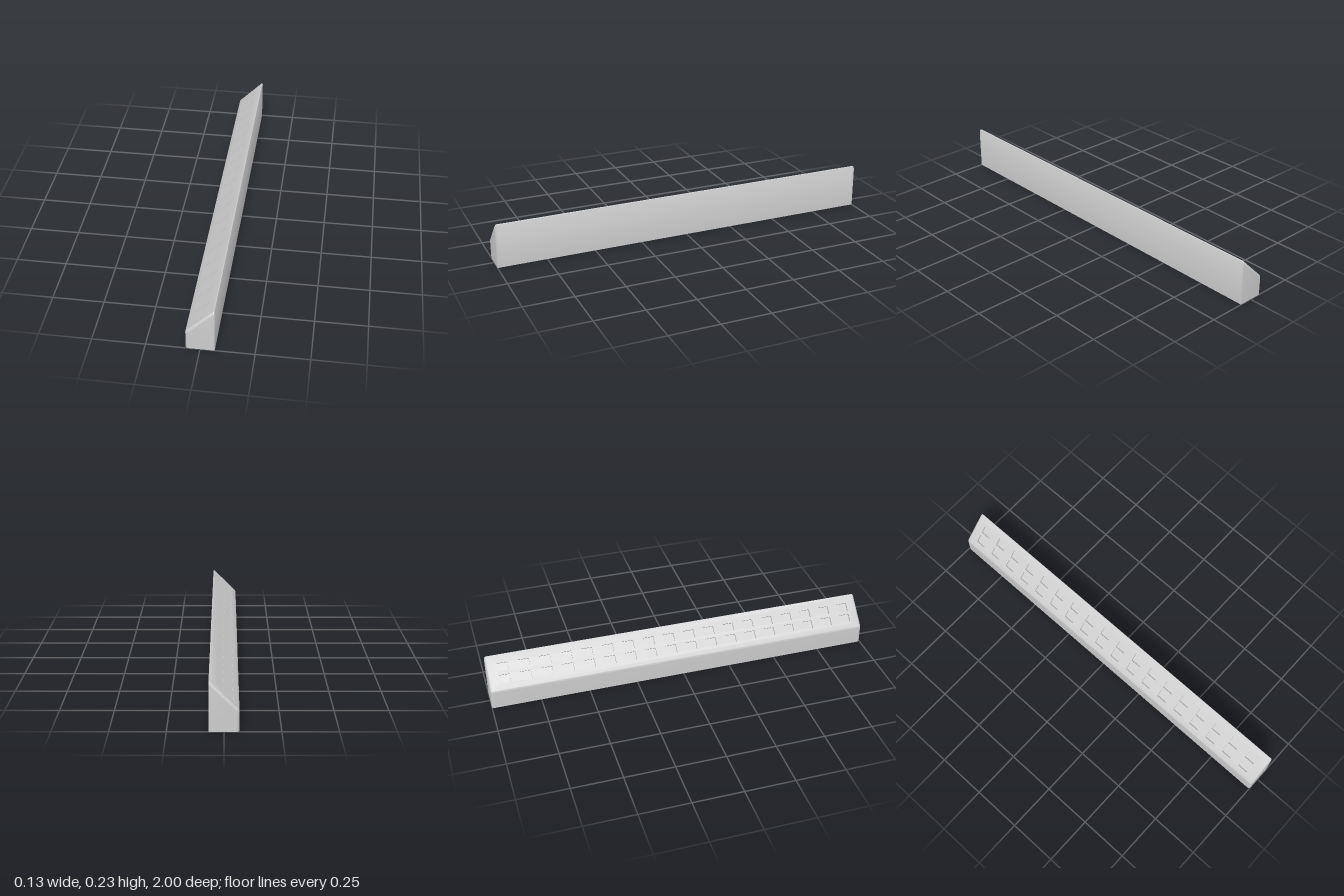
import * as THREE from 'three';
import { mergeGeometries, toCreasedNormals } from 'three/addons/utils/BufferGeometryUtils.js';

const HALF = 0.067, LEN = 1, RISE = 0.166;   // half width, half length, slope line y = x + RISE
const EDGE = 0.012, CORNER = 0.022, TIP = 0.004; // fillet radii
const S2 = Math.SQRT2, ARC = 6;

// Cross-section, counter-clockwise, with the low wall and slope moved in by d
function profile(d) {
  const pts = [new THREE.Vector2(HALF, 0)];
  const arc = (cx, r, from, to) => {
    const cy = cx + RISE - (d + r) * S2;
    for (let i = 0; i <= ARC; i++) {
      const a = THREE.MathUtils.degToRad(from + (to - from) * i / ARC);
      pts.push(new THREE.Vector2(cx + r * Math.cos(a), cy + r * Math.sin(a)));
    }
  };
  arc(HALF - TIP, TIP, 0, 135);
  arc(-HALF + d + CORNER, CORNER, 135, 180);
  pts.push(new THREE.Vector2(-HALF + d, 0));
  return pts;
}
const SLOPE = ARC + 1; // index of the upper end of the flat slope

// Keep positions only, so that parts can be merged and creased together
function plain(geo) {
  const g = geo.index ? geo.toNonIndexed() : geo;
  g.deleteAttribute('normal');
  g.deleteAttribute('uv');
  return g;
}

function reversed(geo) {
  geo.setIndex(Array.from(geo.index.array).reverse());
  return geo;
}

// Long shell with rounded end edges; the flat slope is left open for the panel
function shell() {
  const stations = [];
  for (const side of [-1, 1]) {
    for (let k = 0; k <= ARC; k++) {
      const a = (side < 0 ? ARC - k : k) / ARC * Math.PI / 2;
      stations.push({ z: side * (LEN - EDGE + EDGE * Math.sin(a)), pts: profile(EDGE * (1 - Math.cos(a))) });
    }
  }
  const pos = [];
  for (let s = 0; s < stations.length - 1; s++) {
    const A = stations[s], B = stations[s + 1], n = A.pts.length;
    for (let i = 0; i < n; i++) {
      if (s === ARC && i === SLOPE) continue;
      const j = (i + 1) % n;
      const a = [A.pts[i].x, A.pts[i].y, A.z], b = [A.pts[j].x, A.pts[j].y, A.z];
      const c = [B.pts[j].x, B.pts[j].y, B.z], d = [B.pts[i].x, B.pts[i].y, B.z];
      pos.push(...a, ...b, ...c, ...a, ...c, ...d);
    }
  }
  const g = new THREE.BufferGeometry();
  g.setAttribute('position', new THREE.Float32BufferAttribute(pos, 3));
  return g;
}

export function createModel() {
  const group = new THREE.Group();
  const material = new THREE.MeshStandardMaterial({ color: 0xcccccc });

  // Slope frame: local x runs along the bar, y up the slope, z outward
  const base = profile(0), low = base[SLOPE + 1], high = base[SLOPE];
  const r = 1 / S2;
  const toSlope = new THREE.Matrix4().makeBasis(
    new THREE.Vector3(0, 0, 1), new THREE.Vector3(r, r, 0), new THREE.Vector3(-r, r, 0)
  ).setPosition(low.x, low.y, 0);

  // Two rows of recessed pockets
  const W = 0.055, H = 0.043, DEPTH = 0.01, COUNT = 18, PITCH = 0.108;
  const centres = [];
  for (const x of [-0.027, 0.016])
    for (let i = 0; i < COUNT; i++)
      centres.push([(i - (COUNT - 1) / 2) * PITCH, (x - low.x) * S2]);

  // Slope panel with an opening for each pocket
  const end = LEN - EDGE, top = low.distanceTo(high);
  const rect = (x0, y0, x1, y1) =>
    [[x0, y0], [x1, y0], [x1, y1], [x0, y1]].map(p => new THREE.Vector2(...p));
  const panel = new THREE.Shape(rect(-end, 0, end, top));
  for (const [u, v] of centres)
    panel.holes.push(new THREE.Path(rect(u - W / 2, v - H / 2, u + W / 2, v + H / 2).reverse()));

  // End caps
  const capShape = new THREE.Shape(profile(EDGE));
  const frontCap = new THREE.ShapeGeometry(capShape).translate(0, 0, LEN);
  const backCap = reversed(new THREE.ShapeGeometry(capShape).translate(0, 0, -LEN));

  const bodyGeo = mergeGeometries([
    shell(), plain(new THREE.ShapeGeometry(panel).applyMatrix4(toSlope)), plain(frontCap), plain(backCap)
  ]);
  const body = new THREE.Mesh(toCreasedNormals(bodyGeo, 0.6), material);
  body.name = 'body';
  group.add(body);

  // Pocket walls and floors: inward-facing boxes without their outer face
  const pockets = mergeGeometries(centres.map(([u, v]) => {
    const box = new THREE.BoxGeometry(W, H, DEPTH);
    const idx = Array.from(box.index.array);
    idx.splice(24, 6);
    box.setIndex(idx);
    return plain(reversed(box).translate(u, v, -DEPTH / 2).applyMatrix4(toSlope));
  }));
  pockets.computeVertexNormals();
  const pocketMesh = new THREE.Mesh(pockets, material);
  pocketMesh.name = 'pockets';
  group.add(pocketMesh);

  return group;
}
